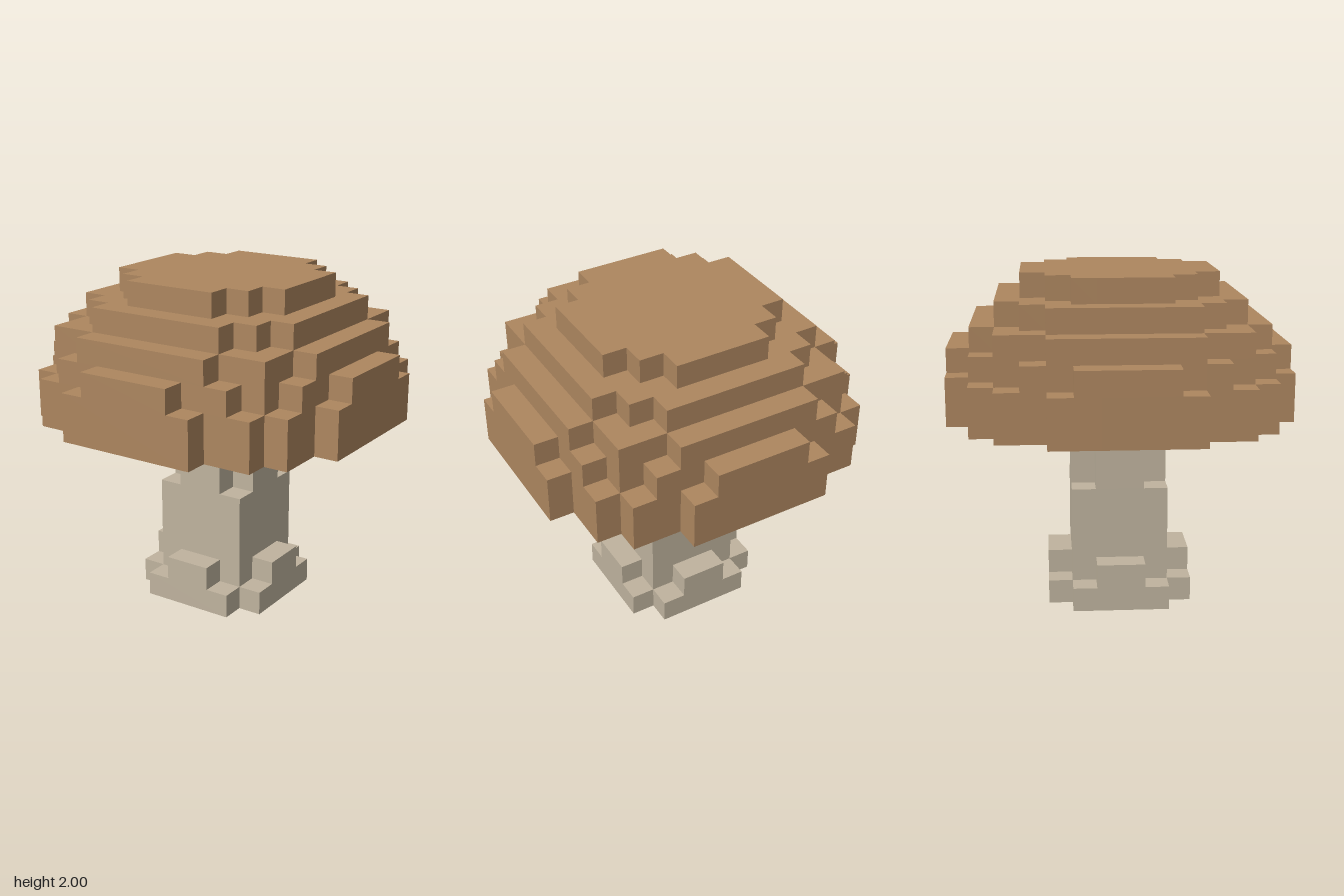
import * as THREE from 'three';

const U = 1 / 7; // edge of one block

// Stepped slab: rows[i] is the half-width of the blocks between z = i and z = i + 1,
// mirrored in x and z, spanning heights y0 to y1 (all in blocks).
function steppedSlab(rows, y0, y1) {
  const side = [];
  const add = (x, z) => {
    const last = side[side.length - 1];
    if (!last || last[0] !== x || last[1] !== z) side.push([x, z]);
  };
  for (let i = rows.length - 1; i >= 0; i--) {
    add(rows[i], -i - 1);
    if (i > 0) add(rows[i], -i);
  }
  for (let i = 0; i < rows.length; i++) {
    if (i > 0) add(rows[i], i);
    add(rows[i], i + 1);
  }
  const outline = [...side, ...side.map(([x, z]) => [-x, z]).reverse()];
  const shape = new THREE.Shape(outline.map(([x, z]) => new THREE.Vector2(x * U, z * U)));
  const geometry = new THREE.ExtrudeGeometry(shape, { depth: (y1 - y0) * U, bevelEnabled: false });
  geometry.rotateX(-Math.PI / 2);
  geometry.translate(0, y0 * U, 0);
  return geometry;
}

export function createModel() {
  const model = new THREE.Group();
  model.name = 'mushroom';

  const material = (name, color) => {
    const m = new THREE.MeshStandardMaterial({ color });
    m.name = name;
    return m;
  };
  const capBrown = material('capBrown', 0xad865f);
  const gillBrown = material('gillBrown', 0x856449);
  const stemBeige = material('stemBeige', 0xbfb39e);

  const build = (name, mat, layers) => {
    const group = new THREE.Group();
    group.name = name;
    layers.forEach(([rows, y0, y1], i) => {
      const mesh = new THREE.Mesh(steppedSlab(rows, y0, y1), mat);
      mesh.name = `${name}Layer${i + 1}`;
      group.add(mesh);
    });
    model.add(group);
  };

  // Stem: flared foot, square shaft, notched neck
  build('stem', stemBeige, [
    [[3, 3, 2], 0, 1],
    [[3, 2, 1], 1, 2],
    [[2, 2], 2, 5],
    [[2, 1], 5, 8],
  ]);

  // Cap: stepped dome
  build('cap', capBrown, [
    [[7, 7, 7, 6, 6, 5, 3], 8, 10],
    [[7, 7, 6, 6, 5, 4, 2], 10, 11],
    [[6, 6, 6, 5, 5, 3], 11, 12],
    [[5, 5, 5, 4, 3], 12, 13],
    [[4, 4, 3, 2], 13, 14],
  ]);

  // Dark gills under the cap
  const gills = new THREE.Mesh(new THREE.CircleGeometry(6.1 * U, 40), gillBrown);
  gills.name = 'gills';
  gills.rotation.x = Math.PI / 2;
  gills.position.y = 8 * U - 0.004;
  model.add(gills);

  return model;
}
